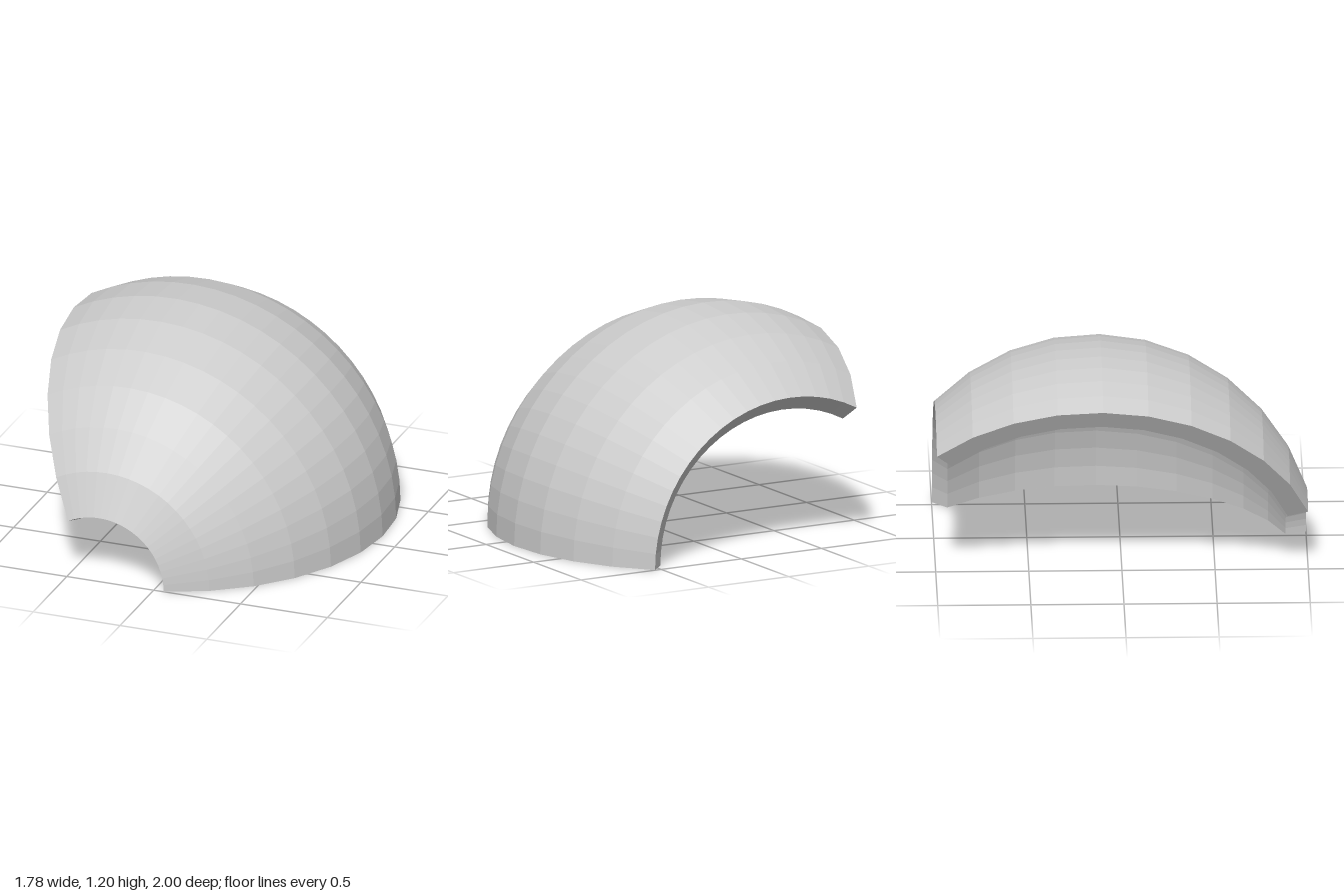
import * as THREE from 'three';

const OUTER = 1.205, INNER = 1.09;            // shell radii
const CENTER_X = -0.315, CENTER_Z = -0.146;   // sphere centre, resting on y = 0
const SWEEP = THREE.MathUtils.degToRad(118.5);
const FRONT = THREE.MathUtils.degToRad(18), BACK = THREE.MathUtils.degToRad(135);
const BANDS = 10, SEGMENTS = 20;

// Arc of the shell's section as (distance from axis, z)
function arc(radius, from, to) {
  return Array.from({ length: BANDS + 1 }, (_, i) => {
    const a = from + (to - from) * i / BANDS;
    return new THREE.Vector2(radius * Math.sin(a), radius * Math.cos(a));
  });
}

export function createModel() {
  const group = new THREE.Group();
  group.name = 'domeSegment';
  const material = new THREE.MeshStandardMaterial({
    color: 0xcccccc, flatShading: true, side: THREE.DoubleSide,
  });
  const add = (name, geometry) => {
    const mesh = new THREE.Mesh(geometry, material);
    mesh.name = name;
    mesh.position.set(CENTER_X, 0, CENTER_Z);
    group.add(mesh);
  };

  // Closed section: outside from back to front, then inside from front to back
  const section = [...arc(OUTER, BACK, FRONT), ...arc(INNER, FRONT, BACK)];

  // Curved shell with its front and back rims, swept about the z axis
  add('shell', new THREE.LatheGeometry([...section, section[0].clone()], SEGMENTS, Math.PI / 2, SWEEP)
    .rotateX(Math.PI / 2));

  // Flat cut faces at both ends of the sweep
  [['baseEdge', 0], ['upperEdge', SWEEP]].forEach(([name, angle]) => {
    add(name, new THREE.ShapeGeometry(new THREE.Shape(section)).rotateX(Math.PI / 2).rotateZ(angle));
  });

  return group;
}
